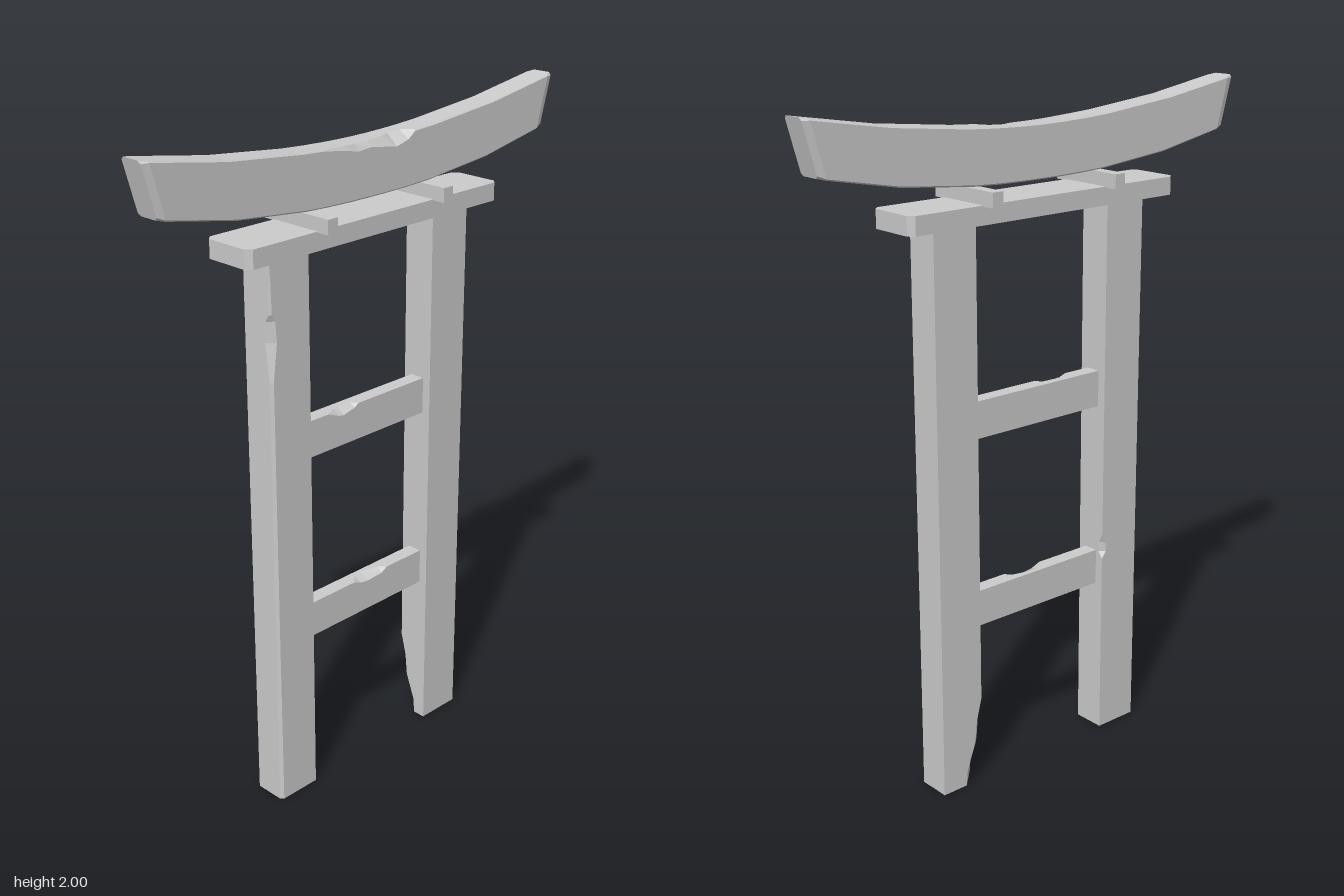
import * as THREE from 'three';

const material = new THREE.MeshStandardMaterial({ color: 0xcccccc, flatShading: true });

// Section outline: four corners, each cut back [toward previous, toward next]
function ring(corners, cuts = {}) {
  const points = [];
  corners.forEach((c, i) => {
    const [p, n] = cuts[i] || [0, 0];
    const toward = (other, d) =>
      c.clone().add(other.clone().sub(c).normalize().multiplyScalar(d));
    points.push(toward(corners[(i + 3) % 4], p), toward(corners[(i + 1) % 4], n));
  });
  return points;
}

// Skin a row of rings (counter-clockwise seen from the far end) and cap both ends
function loft(name, rings) {
  const pos = [];
  const tri = (a, b, c) => {
    const area = b.clone().sub(a).cross(c.clone().sub(a)).length();
    if (area > 1e-9) pos.push(...a, ...b, ...c);
  };
  for (let s = 0; s < rings.length - 1; s++) {
    const a = rings[s], b = rings[s + 1];
    a.forEach((_, i) => {
      const j = (i + 1) % a.length;
      tri(a[i], a[j], b[j]);
      tri(a[i], b[j], b[i]);
    });
  }
  const first = rings[0], last = rings[rings.length - 1];
  for (let i = 1; i < first.length - 1; i++) {
    tri(first[0], first[i + 1], first[i]);
    tri(last[0], last[i], last[i + 1]);
  }
  const geometry = new THREE.BufferGeometry();
  geometry.setAttribute('position', new THREE.Float32BufferAttribute(pos, 3));
  geometry.computeVertexNormals();
  const mesh = new THREE.Mesh(geometry, material);
  mesh.name = name;
  return mesh;
}

const V = (x, y, z) => new THREE.Vector3(x, y, z);

// Corners 0..3: (+x,+z) (+x,-z) (-x,-z) (-x,+z)
const level = (y, hx, z0, z1, cuts) =>
  ring([V(hx, y, z1), V(hx, y, z0), V(-hx, y, z0), V(-hx, y, z1)], cuts);

// Corners 0..3: (+x,bottom) (+x,top) (-x,top) (-x,bottom)
const slice = (hx, y0, y1, zBottom, zTop, cuts) =>
  ring([V(hx, y0, zBottom), V(hx, y1, zTop), V(-hx, y1, zTop), V(-hx, y0, zBottom)], cuts);

export function createModel() {
  const group = new THREE.Group();

  // Front post: worn outer edge with a deep chip, small chip on the inner edge
  // [y, outer cut, inner cut]
  const frontWear = [
    [0, 0.009, 0], [0.58, 0.008, 0], [0.6, 0.008, 0.016], [0.63, 0.008, 0.014],
    [0.66, 0.008, 0], [1.34, 0.008, 0], [1.45, 0.022, 0], [1.51, 0.018, 0],
    [1.53, 0.006, 0], [1.62, 0.004, 0], [1.68, 0, 0],
  ];
  group.add(loft('frontPost', frontWear.map(([y, outer, inner]) =>
    level(y, 0.05, 0.243, 0.383, { 0: [outer, outer], 2: [inner, inner] }))));

  // Back post: inner edge broken away near the foot
  const backWear = [[0, 0.06], [0.05, 0.055], [0.13, 0.025], [0.2, 0.018], [0.27, 0], [1.68, 0]];
  group.add(loft('backPost', backWear.map(([y, c]) =>
    level(y, 0.05, -0.383, -0.24, { 3: [c, c] }))));

  // Cross rungs with chipped top edges: [z, cut down, cut across]
  const rungs = [
    ['lowerRung', 0.49, 0.6, [[-0.09, 0, 0], [-0.07, 0.012, 0.02], [-0.01, 0.016, 0.036],
      [0.02, 0.012, 0.03], [0.05, 0, 0]]],
    ['upperRung', 1.065, 1.175, [[0.03, 0, 0], [0.045, 0.01, 0.02], [0.09, 0.02, 0.022],
      [0.11, 0.016, 0.02], [0.15, 0, 0]]],
  ];
  for (const [name, y0, y1, chips] of rungs) {
    const stations = [[-0.25, 0, 0], ...chips, [0.255, 0, 0]];
    group.add(loft(name, stations.map(([z, down, across]) =>
      slice(0.023, y0, y1, z, z, { 1: [down, across] }))));
  }

  // Flat tie plank with clipped corners
  const clip = [0.016, 0.016];
  group.add(loft('tiePlank', [1.68, 1.733].map((y) =>
    level(y, 0.083, -0.48, 0.48, { 0: clip, 1: clip, 2: clip, 3: clip }))));

  // Two short cleats under the curved beam
  for (const side of [-1, 1]) {
    const cleat = new THREE.Mesh(new THREE.BoxGeometry(0.244, 0.042, 0.036), material);
    cleat.position.set(0, 1.751, side * 0.222);
    cleat.name = 'cleat';
    group.add(cleat);
  }

  // Curved top beam with sloping ends and a broken upper edge
  const topY = (z) => 1.922 + 0.078 * Math.pow(Math.abs(z) / 0.763, 1.9);
  const bottomY = (z) => 1.77 + 0.078 * Math.pow(Math.abs(z) / 0.72, 2.3);
  // [z, cut down, cut across] on the +x top edge
  const beamStations = [
    [-0.763, 0.008, 0.008], [-0.74, 0.003, 0.003], [-0.5, 0.004, 0.004], [-0.25, 0.004, 0.004],
    [-0.17, 0.004, 0.004], [-0.145, 0.022, 0.036], [-0.1, 0.032, 0.04], [-0.06, 0.025, 0.022],
    [0, 0.016, 0.016], [0.05, 0.02, 0.013], [0.09, 0.012, 0.009], [0.17, 0.003, 0.003],
    [0.25, 0.003, 0.003], [0.5, 0.004, 0.004], [0.74, 0.003, 0.003], [0.763, 0.008, 0.008],
  ];
  group.add(loft('curvedBeam', beamStations.map(([z, down, across]) => {
    const zb = z * 0.945;
    const end = Math.abs(z) > 0.75;
    const e = end ? 0.008 : 0.004;
    return slice(end ? 0.036 : 0.042, bottomY(zb), topY(z), zb, z,
      { 0: [e, e], 1: [down, across], 2: [e, e], 3: [e, e] });
  })));

  return group;
}
